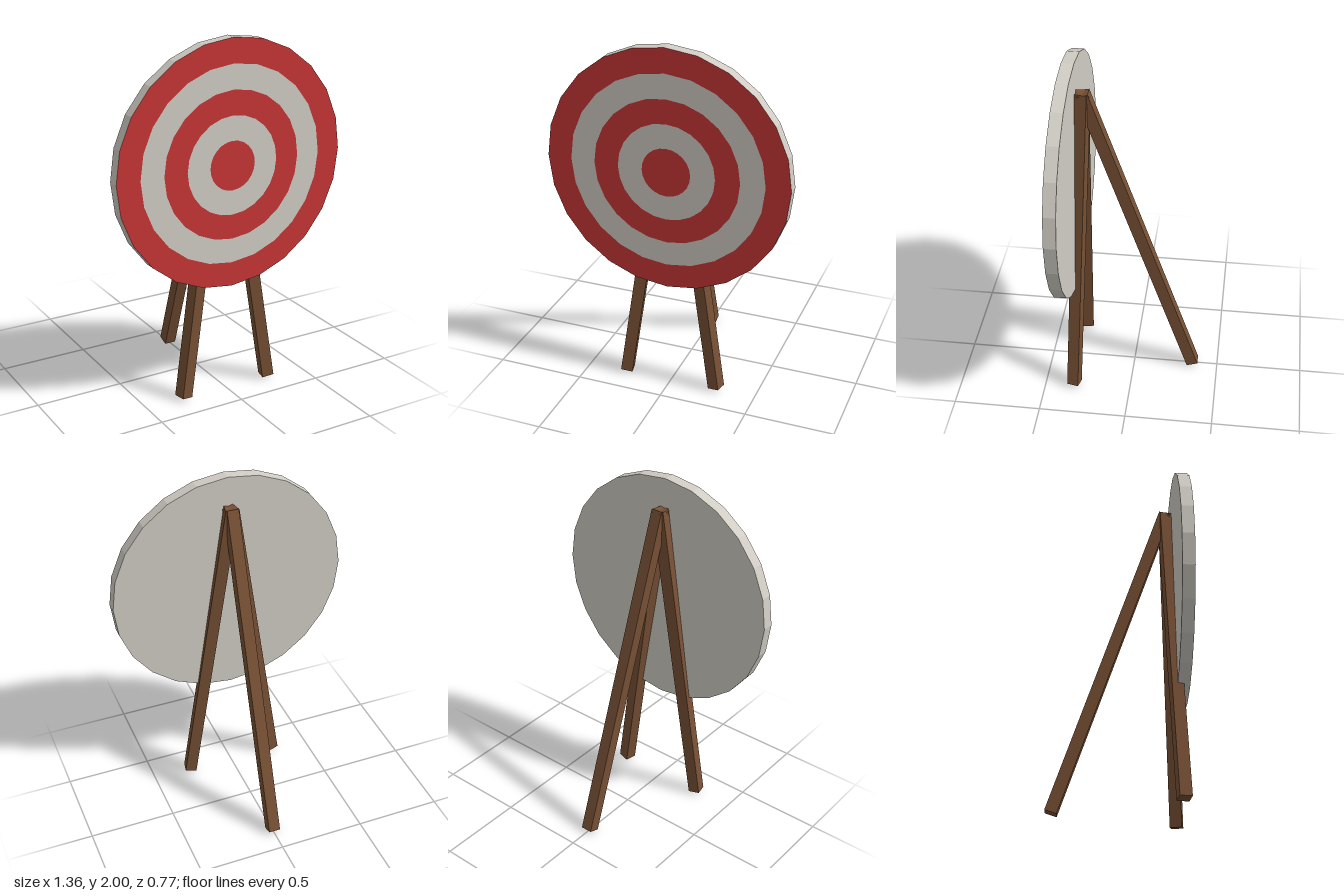
import * as THREE from 'three';

const SIDES = 24, RADIUS = 0.68, CENTER_Y = 1.32, FRONT_Z = 0.383, THICK = 0.068;

export function createModel() {
  const model = new THREE.Group();
  model.name = 'archeryTarget';

  const material = (name, color) => {
    const m = new THREE.MeshStandardMaterial({ color, flatShading: true });
    m.name = name;
    return m;
  };
  const red = material('red', 0xc83636);
  const white = material('offWhite', 0xd1cdc5);
  const wood = material('brownWood', 0x775034);

  const add = (name, geometry, mat, parent = model) => {
    const mesh = new THREE.Mesh(geometry, mat);
    mesh.name = name;
    parent.add(mesh);
    return mesh;
  };

  // Round board: rim, back and five flush rings on the front
  const board = new THREE.Group();
  board.name = 'board';
  board.position.set(0, CENTER_Y, FRONT_Z);
  model.add(board);

  const rim = new THREE.CylinderGeometry(RADIUS, RADIUS, THICK, SIDES, 1, true);
  rim.rotateX(Math.PI / 2).translate(0, 0, -THICK / 2);
  add('boardRim', rim, white, board);

  const back = new THREE.CircleGeometry(RADIUS, SIDES);
  back.rotateY(Math.PI).translate(0, 0, -THICK);
  add('boardBack', back, white, board);

  add('bullseye', new THREE.CircleGeometry(RADIUS / 5, SIDES), red, board);
  for (let i = 1; i < 5; i++) {
    const ring = new THREE.RingGeometry(RADIUS * i / 5, RADIUS * (i + 1) / 5, SIDES);
    add('ring' + i, ring, i % 2 ? white : red, board);
  }

  // Square legs that meet at the top, each turned toward its lean
  const top = new THREE.Vector3(0, 1.829, 0.276);
  const addLeg = (name, x, y, z) => {
    const foot = new THREE.Vector3(x, y, z);
    const length = top.distanceTo(foot);
    const leg = add(name, new THREE.BoxGeometry(0.067, 0.067, length), wood);
    leg.position.copy(top).add(foot).multiplyScalar(0.5);
    leg.lookAt(top);
  };
  addLeg('rearLeg', 0, 0.011, -0.351);
  addLeg('leftFrontLeg', 0.271, 0.015, 0.33);
  addLeg('rightFrontLeg', -0.271, 0.015, 0.33);

  return model;
}
